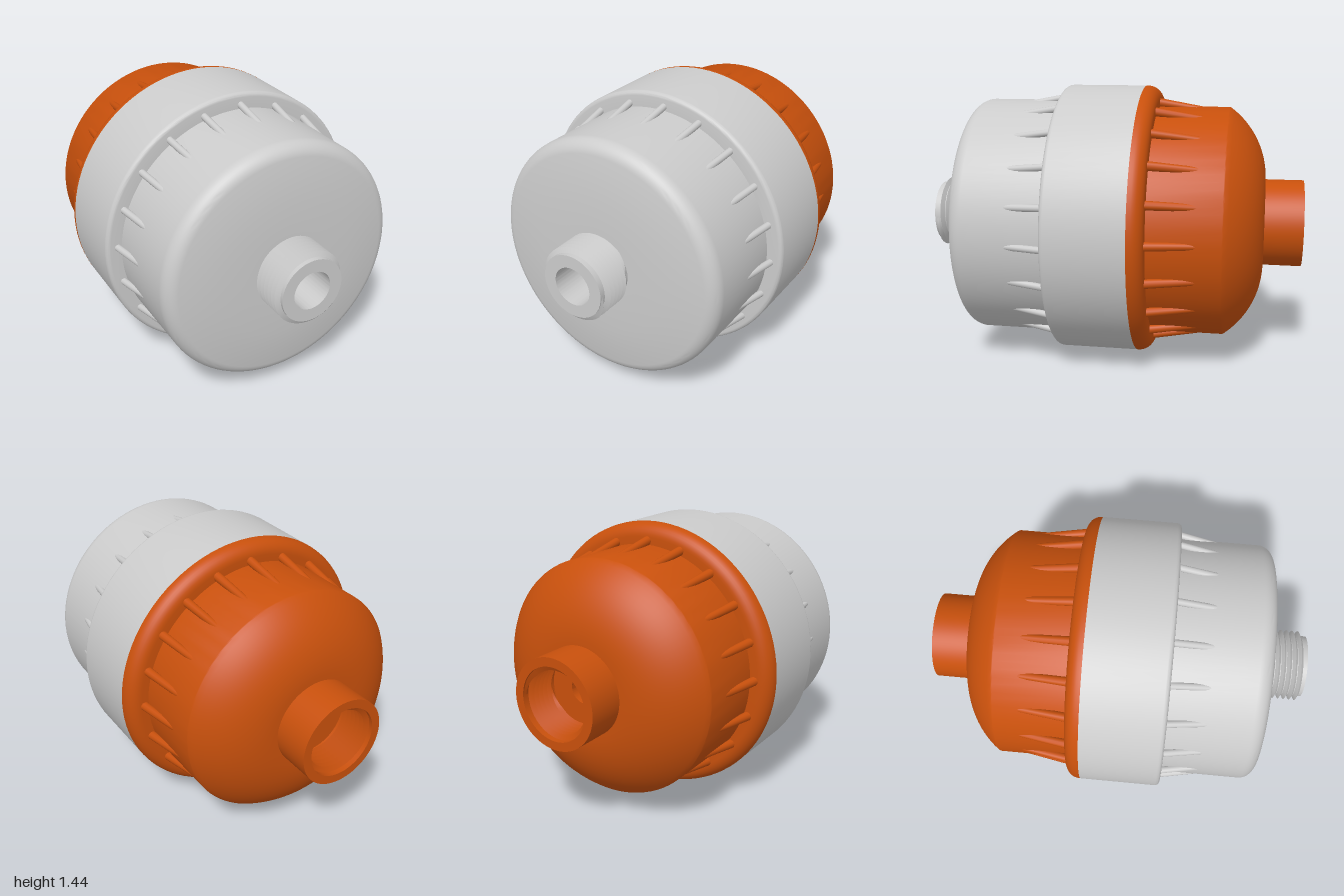
import * as THREE from 'three';
import { toCreasedNormals } from 'three/addons/utils/BufferGeometryUtils.js';

const AXIS_Y = 0.72;
const grey = new THREE.MeshStandardMaterial({ color: 0xcccccc });
const orange = new THREE.MeshStandardMaterial({ color: 0xc8500c });
const greyThread = new THREE.MeshStandardMaterial({ color: 0xcccccc, side: THREE.DoubleSide });
const orangeThread = new THREE.MeshStandardMaterial({ color: 0xc8500c, side: THREE.DoubleSide });

// Quarter-style arc of [radius, z] points between two angles
function arc(cr, cz, rad, from, to, n = 8) {
  return Array.from({ length: n + 1 }, (_, i) => {
    const a = from + (to - from) * i / n;
    return [cr + rad * Math.cos(a), cz + rad * Math.sin(a)];
  });
}

// Turned part around the z axis from a [radius, z] profile
function turned(name, profile, material) {
  const lathe = new THREE.LatheGeometry(profile.map(p => new THREE.Vector2(p[0], p[1])), 96);
  lathe.rotateX(Math.PI / 2);
  const mesh = new THREE.Mesh(toCreasedNormals(lathe, 0.45), material);
  mesh.name = name;
  return mesh;
}

// Helical ridge: a triangular section swept along the z axis
function thread(name, base, crest, z0, z1, pitch, material) {
  const turns = (z1 - z0) / pitch, perTurn = 48, steps = Math.round(turns * perTurn);
  const pos = [], index = [];
  for (let i = 0; i <= steps; i++) {
    const a = i / perTurn * Math.PI * 2, z = z0 + pitch * i / perTurn;
    const fade = Math.min(1, i / 6, (steps - i) / 6);
    const top = base + (crest - base) * fade, h = pitch * 0.47;
    for (const [r, dz] of [[base, -h], [top, 0], [base, h]])
      pos.push(r * Math.cos(a), r * Math.sin(a), z + dz);
    if (i < steps) for (let k = 0; k < 2; k++) {
      const p = i * 3 + k, q = p + 3;
      index.push(p, q, p + 1, p + 1, q, q + 1);
    }
  }
  const g = new THREE.BufferGeometry();
  g.setAttribute('position', new THREE.Float32BufferAttribute(pos, 3));
  g.setIndex(index);
  const mesh = new THREE.Mesh(toCreasedNormals(g, 0.6), material);
  mesh.name = name;
  return mesh;
}

// Ring of slanted grip ribs sinking into the shell away from the collar
function ribs(name, count, offset, start, end, r0, r1, material) {
  const group = new THREE.Group();
  group.name = name;
  const a = new THREE.Vector3(0, start[0], start[1]), b = new THREE.Vector3(0, end[0], end[1]);
  const dir = b.clone().sub(a);
  const geo = new THREE.CylinderGeometry(r1, r0, dir.length(), 12);
  geo.applyQuaternion(new THREE.Quaternion().setFromUnitVectors(new THREE.Vector3(0, 1, 0), dir.clone().normalize()));
  const mid = a.add(b).multiplyScalar(0.5);
  geo.translate(mid.x, mid.y, mid.z);
  for (let i = 0; i < count; i++) {
    const rib = new THREE.Mesh(geo, material);
    rib.name = 'gripRib';
    rib.rotation.z = -(offset + i * Math.PI * 2 / count);
    group.add(rib);
  }
  return group;
}

export function createModel() {
  const model = new THREE.Group();
  model.name = 'inlineFilter';
  const body = new THREE.Group();
  body.name = 'filterBody';
  body.position.y = AXIS_Y;
  model.add(body);
  const H = Math.PI / 2;

  // Front housing: collar, cup, shallow conical face, threaded stud and bore
  body.add(turned('frontHousing', [
    [0.72, -0.155],
    ...arc(0.697, 0.247, 0.023, 0, H, 6),
    [0.638, 0.27],
    ...arc(0.563, 0.69, 0.075, 0, H * 0.9, 10),
    [0.36, 0.79], [0.165, 0.79],
    [0.165, 1], [0.1, 1], [0.1, -0.155],
  ], grey));
  body.add(thread('studThread', 0.164, 0.19, 0.805, 0.985, 0.03, greyThread));
  body.add(ribs('frontRibs', 20, THREE.MathUtils.degToRad(3), [0.662, 0.25], [0.616, 0.485], 0.018, 0.018, grey));

  // Back housing: bore, threaded socket, neck, dome, cup and rounded flange
  body.add(turned('backHousing', [
    [0.07, -0.155], [0.07, -0.78], [0.185, -0.78], [0.185, -1],
    [0.23, -1], [0.23, -0.8],
    ...arc(0.23, -0.332, 0.468, -H, -0.623, 16),
    [0.612, -0.6], [0.612, -0.232],
    [0.65, -0.232],
    ...arc(0.65, -0.162, 0.07, -H, 0, 8),
    [0.72, -0.155], [0.07, -0.155],
  ], orange));
  body.add(thread('socketThread', 0.186, 0.16, -0.98, -0.8, 0.03, orangeThread));
  body.add(ribs('backRibs', 20, 0, [0.635, -0.21], [0.594, -0.475], 0.024, 0.018, orange));

  return model;
}
